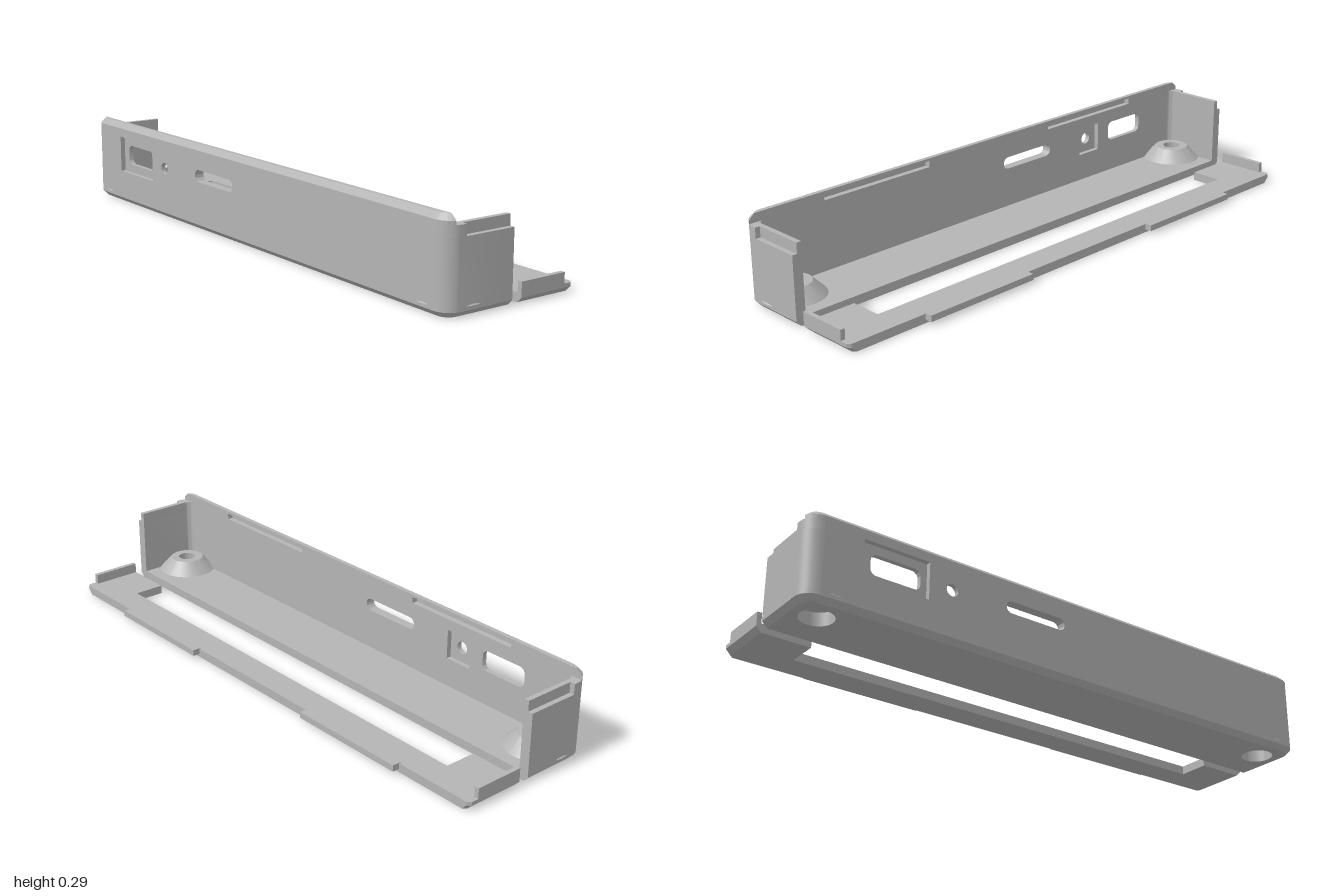
import * as THREE from 'three';
import { toCreasedNormals } from 'three/addons/utils/BufferGeometryUtils.js';

const W = 0.995, FRONT = 0.256, BACK = 0.008, INNER = 0.222; // outer half width, z faces
const R = 0.055, CX = W - R, CZ = FRONT - R;                 // rounded plan corners
const T = 0.034, CH = 0.018, FLOOR = 0.03, RIM = 0.265;

const v = (x, z) => new THREE.Vector2(x, z);

// Points of an arc in plan (x, z)
function arc(cx, cz, r, a0, a1, n = 10) {
  return Array.from({ length: n + 1 }, (_, i) => {
    const a = a0 + (a1 - a0) * i / n;
    return v(cx + r * Math.cos(a), cz + r * Math.sin(a));
  });
}

// Solid stacked from plan rings [y, points], capped at both ends, with optional cap holes
function loft(rings, holes = []) {
  const pos = [];
  const put = (p, y) => pos.push(p.x, y, p.y);
  rings = rings.map(([y, p]) => [y, THREE.ShapeUtils.isClockWise(p) ? [...p].reverse() : p]);
  for (let k = 0; k + 1 < rings.length; k++) {
    const [y0, p0] = rings[k], [y1, p1] = rings[k + 1];
    p0.forEach((a, i) => {
      const j = (i + 1) % p0.length;
      put(a, y0); put(p1[j], y1); put(p0[j], y0);
      put(a, y0); put(p1[i], y1); put(p1[j], y1);
    });
  }
  const cap = ([y, p], up) => {
    const all = [...p, ...holes.flat()];
    for (const [a, b, c] of THREE.ShapeUtils.triangulateShape(p, holes))
      for (const i of up ? [a, c, b] : [a, b, c]) put(all[i], y);
  };
  cap(rings[0], false);
  cap(rings[rings.length - 1], true);
  const g = new THREE.BufferGeometry();
  g.setAttribute('position', new THREE.Float32BufferAttribute(pos, 3));
  return toCreasedNormals(g, 0.5);
}

// Plan with rounded front corners, inset by d, cut off at z = back, with optional back notches
function plan(d, back, notches = []) {
  const r = R - d, a = back > CZ ? Math.asin((back - CZ) / r) : 0;
  const pts = a ? [] : [v(W - d, back)];
  pts.push(...arc(CX, CZ, r, a, Math.PI / 2), ...arc(-CX, CZ, r, Math.PI / 2, Math.PI - a));
  if (!a) pts.push(v(-W + d, back));
  for (const [x0, x1, z] of notches) pts.push(v(x0, back), v(x0, z), v(x1, z), v(x1, back));
  return pts;
}

function rectPath(x0, x1, y0, y1, r = 0) {
  const p = new THREE.Path();
  if (!r) return p.setFromPoints([v(x0, y0), v(x1, y0), v(x1, y1), v(x0, y1), v(x0, y0)]);
  p.absarc(x1 - r, y0 + r, r, -Math.PI / 2, 0);
  p.absarc(x1 - r, y1 - r, r, 0, Math.PI / 2);
  p.absarc(x0 + r, y1 - r, r, Math.PI / 2, Math.PI);
  p.absarc(x0 + r, y0 + r, r, Math.PI, Math.PI * 1.5);
  p.closePath();
  return p;
}

// Upright plate with holes between two z values
function plate(z0, z1, holes) {
  const s = new THREE.Shape([v(-CX, FLOOR), v(CX, FLOOR), v(CX, RIM), v(-CX, RIM)]);
  s.holes = holes;
  const g = new THREE.ExtrudeGeometry(s, { depth: z1 - z0, bevelEnabled: false, curveSegments: 10 });
  return toCreasedNormals(g.translate(0, 0, z0), 0.5);
}

export function createModel() {
  const model = new THREE.Group();
  const shell = new THREE.Group(), lid = new THREE.Group();
  shell.name = 'shell';
  lid.name = 'lid';
  model.add(shell, lid);
  const grey = new THREE.MeshStandardMaterial({ color: 0xb4b4b4 });
  grey.name = 'grey plastic';
  const add = (parent, name, g) => {
    const m = new THREE.Mesh(g, grey);
    m.name = name;
    parent.add(m);
    return m;
  };
  const box = (parent, name, x0, x1, y0, y1, z0, z1) =>
    add(parent, name, new THREE.BoxGeometry(x1 - x0, y1 - y0, z1 - z0))
      .position.set((x0 + x1) / 2, (y0 + y1) / 2, (z0 + z1) / 2);

  // Floor with chamfered underside and screw openings
  const bossX = 0.895, bossZ = 0.155, bore = 0.055;
  const openings = [1, -1].map(s => arc(s * bossX, bossZ, bore, 0, Math.PI * 2, 32).slice(0, -1));
  add(shell, 'floor', loft([[0, plan(CH, BACK)], [CH, plan(0, BACK)], [FLOOR, plan(0, BACK)]], openings));

  // Front wall: outer plate with port recess, inner plate with button pocket
  const slot = () => rectPath(-0.29, -0.06, 0.168, 0.21, 0.0205);
  const button = new THREE.Path().absarc(-0.495, 0.177, 0.021, 0, Math.PI * 2);
  const mid = 0.239;
  add(shell, 'frontWallOuter', plate(mid, FRONT, [rectPath(-0.807, -0.578, 0.118, 0.246), button, slot()]));
  add(shell, 'frontWallInner', plate(INNER, mid, [
    rectPath(-0.775, -0.6, 0.147, 0.217, 0.022), rectPath(-0.545, -0.445, 0.127, 0.227), slot()]));

  // Front lip with chamfered top and two latch slots
  const notches = [[-0.713, -0.28, 0.242], [0.28, 0.713, 0.242]];
  add(shell, 'slottedLip', loft([[RIM, plan(0, INNER, notches)], [0.277, plan(0, INNER, notches)],
    [0.286, plan(0.009, INNER, notches)]]));
  add(shell, 'lipTop', loft([[0.286, plan(0.009, INNER)], [0.295, plan(CH, INNER)]]));

  for (const s of [1, -1]) {
    // Side wall with rounded corner, stepped thinner at the top
    const corner = [...arc(CX, CZ, R, 0, Math.PI / 2), ...arc(CX, CZ, R - T, Math.PI / 2, 0), v(W - T, BACK)];
    const side = pts => pts.map(p => v(s * p.x, p.y));
    const full = side([v(W, BACK), ...corner]);
    const thin = side([v(W - T / 2, BACK), v(W - T / 2, 0.187), v(W, 0.187), ...corner]);
    add(shell, 'sideWall', loft([[FLOOR, full], [0.23, full]]));
    add(shell, 'sideWallStep', loft([[0.23, thin], [RIM, thin]]));

    // Conical screw boss with counterbore
    const profile = [[bore, 0], [bore, 0.045], [0.031, 0.045], [0.031, 0.075], [0.06, 0.075], [0.104, 0.03]];
    const lathe = new THREE.LatheGeometry(profile.map(([r, y]) => v(r, y)).reverse(), 40);
    // Profile runs from the outside over the top and down the bore
    const boss = add(shell, 'screwBoss', toCreasedNormals(lathe, 0.5));
    boss.position.set(s * bossX, 0, bossZ);
    boss.material = grey;
  }

  // Lid frame: U-shaped plate with chamfered ends
  const frame = d => {
    const half = [v(0.81, -0.138), v(0.81, -0.028), v(W - d, -0.028), v(W - d, -0.226), v(W - d - 0.01, -0.236)];
    return [...half, ...half.map(p => v(-p.x, p.y)).reverse()];
  };
  add(lid, 'lidFrame', loft([[0, frame(CH)], [CH, frame(0)], [FLOOR, frame(0)]]));

  // Lid end flanges and latch tabs
  for (const s of [1, -1]) {
    const span = (a, b) => s > 0 ? [a, b] : [-b, -a];
    box(lid, 'endFlange', ...span(W - 0.016, W), FLOOR, 0.065, -0.2, -0.028);
    box(lid, 'latchTab', ...span(0.284, 0.709), 0.011, 0.032, -0.261, -0.23);
  }

  // Lathe faces are wound for a rising profile, so flip the descending boss profiles
  shell.children.filter(m => m.name === 'screwBoss').forEach(m => {
    const p = m.geometry.attributes.position, a = new THREE.Vector3(), b = new THREE.Vector3(), c = new THREE.Vector3();
    let volume = 0;
    for (let i = 0; i < p.count; i += 3) {
      a.fromBufferAttribute(p, i); b.fromBufferAttribute(p, i + 1); c.fromBufferAttribute(p, i + 2);
      volume += a.dot(b.cross(c));
    }
    if (volume < 0) {
      for (let i = 0; i < p.count; i += 3) {
        a.fromBufferAttribute(p, i + 1); b.fromBufferAttribute(p, i + 2);
        p.setXYZ(i + 1, b.x, b.y, b.z); p.setXYZ(i + 2, a.x, a.y, a.z);
      }
      m.geometry = toCreasedNormals(m.geometry, 0.5);
    }
  });
  return model;
}
